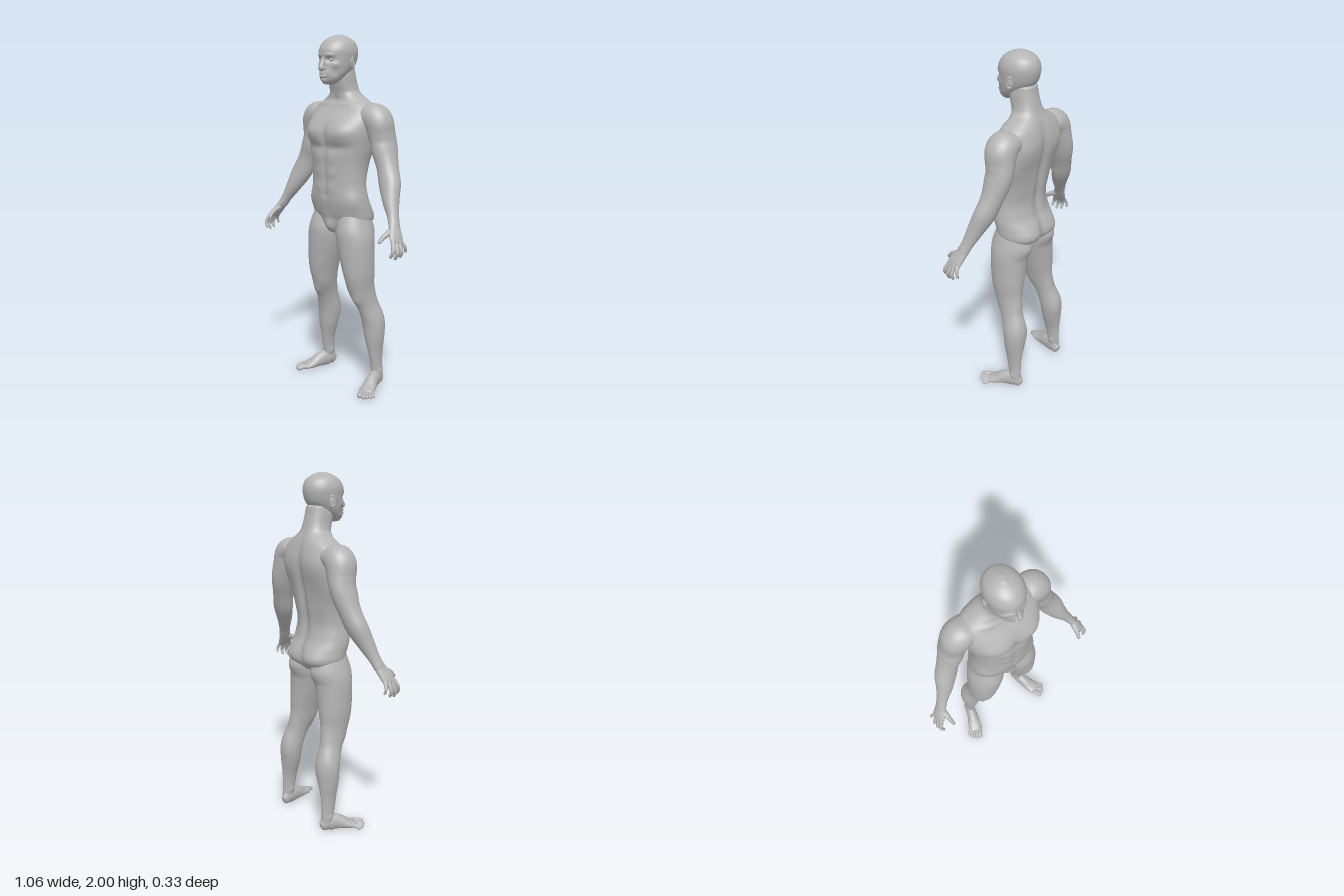
import * as THREE from 'three';

const skin = new THREE.MeshStandardMaterial({ color: 0xb4b4b4 });
skin.name = 'grey skin';
const X = new THREE.Vector3(1, 0, 0), Y = new THREE.Vector3(0, 1, 0), Z = new THREE.Vector3(0, 0, 1);

// Smooth closed loft through rings [x, y, z, radiusSide, radiusOther].
// bumps: [x, y, z, spreadX, spreadY, spreadZ, height] push the skin in or out.
function loft(name, rings, { side = 1, ref = Z, flat = false, seg = 32, steps = 8, cap = 0.5, square = 1, bumps = [] } = {}) {
  const path = new THREE.CatmullRomCurve3(rings.map(r => new THREE.Vector3(r[0] * side, r[1], r[2])), false, 'catmullrom');
  const size = new THREE.CatmullRomCurve3(rings.map(r => new THREE.Vector3(r[3], r[4], 0)), false, 'catmullrom');
  const rows = [], n = (rings.length - 1) * steps, capRows = 6;
  for (let i = capRows; i > 0; i--) rows.push([0, -i / capRows]);
  for (let i = 0; i <= n; i++) rows.push([i / n, 0]);
  for (let i = 1; i <= capRows; i++) rows.push([1, i / capRows]);
  const pos = [], index = [];
  const pow = v => Math.sign(v) * Math.abs(v) ** square;
  for (const [t, e] of rows) {
    const c = path.getPoint(t), s = size.getPoint(t);
    const T = flat ? Y.clone() : path.getTangent(t);
    const u = new THREE.Vector3().crossVectors(ref, T).normalize();
    const v = new THREE.Vector3().crossVectors(T, u);
    const k = Math.cos(e * Math.PI / 2);
    c.addScaledVector(T, Math.sin(e * Math.PI / 2) * cap * Math.min(s.x, s.y));
    for (let j = 0; j < seg; j++) {
      const a = j / seg * Math.PI * 2;
      const d = u.clone().multiplyScalar(s.x * k * pow(Math.cos(a))).addScaledVector(v, s.y * k * pow(Math.sin(a)));
      const p = c.clone().add(d), out = d.clone().normalize();
      let h = 0;
      for (const b of bumps) {
        h += b[6] * Math.exp(-(((p.x - b[0] * side) / b[3]) ** 2) - ((p.y - b[1]) / b[4]) ** 2 - ((p.z - b[2]) / b[5]) ** 2);
      }
      p.addScaledVector(out, h * Math.min(1, k * 2));
      pos.push(p.x, Math.max(0, p.y), p.z);
    }
  }
  for (let i = 0; i < rows.length - 1; i++) for (let j = 0; j < seg; j++) {
    const a = i * seg + j, b = i * seg + (j + 1) % seg;
    index.push(a, b, b + seg, a, b + seg, a + seg);
  }
  const g = new THREE.BufferGeometry();
  g.setAttribute('position', new THREE.Float32BufferAttribute(pos, 3));
  g.setIndex(index);
  g.computeVertexNormals();
  const mesh = new THREE.Mesh(g, skin);
  mesh.name = name;
  return mesh;
}

// Upright section from height, half width, front z and back z
const slice = ([y, w, front, back]) => [0, y, (front + back) / 2, w, (front - back) / 2];
const mirrored = list => list.flatMap(b => [b, [-b[0], ...b.slice(1)]]);

function ball(name, x, y, z, sx, sy, sz) {
  const m = new THREE.Mesh(new THREE.SphereGeometry(1, 24, 16), skin);
  m.name = name;
  m.position.set(x, y, z);
  m.scale.set(sx, sy, sz);
  return m;
}

function torso() {
  return loft('torso and neck', [
    [0.925, 0.09, 0.06, -0.09], [0.98, 0.178, 0.085, -0.135], [1.05, 0.19, 0.105, -0.135],
    [1.12, 0.184, 0.118, -0.115], [1.2, 0.173, 0.117, -0.105], [1.3, 0.178, 0.12, -0.125],
    [1.4, 0.2, 0.122, -0.142], [1.48, 0.215, 0.122, -0.155], [1.55, 0.22, 0.1, -0.158],
    [1.61, 0.205, 0.058, -0.148], [1.65, 0.15, 0.035, -0.135], [1.69, 0.09, 0.033, -0.118],
    [1.73, 0.074, 0.043, -0.105], [1.78, 0.07, 0.055, -0.092], [1.82, 0.065, 0.05, -0.085],
  ].map(slice), {
    flat: true, seg: 112, steps: 8, square: 0.9, cap: 0.3,
    bumps: [
      // breastbone, midline, spine and cleft grooves, pelvis
      [0, 1.47, 0.14, 0.018, 0.07, 0.06, -0.014], [0, 1.24, 0.12, 0.012, 0.12, 0.05, -0.006],
      [0, 1.36, -0.14, 0.026, 0.24, 0.08, -0.022], [0, 0.99, -0.14, 0.016, 0.07, 0.08, -0.03],
      [0, 0.945, 0.08, 0.035, 0.045, 0.05, 0.025], [0, 1.135, 0.12, 0.014, 0.014, 0.04, -0.007],
      [0, 1.655, 0.04, 0.02, 0.02, 0.04, -0.008],
      ...mirrored([
        [0.095, 1.485, 0.11, 0.08, 0.06, 0.08, 0.026], [0.09, 1.4, 0.12, 0.08, 0.02, 0.06, -0.009],
        [0.1, 1.635, 0.04, 0.08, 0.011, 0.05, 0.007],
        [0.045, 1.34, 0.12, 0.03, 0.03, 0.05, 0.006], [0.045, 1.26, 0.12, 0.03, 0.03, 0.05, 0.006],
        [0.045, 1.18, 0.12, 0.03, 0.03, 0.05, 0.006], [0.15, 1.1, 0.06, 0.05, 0.05, 0.06, 0.008],
        [0.1, 1.0, 0.1, 0.07, 0.02, 0.05, -0.006],
        [0.12, 1.52, -0.13, 0.07, 0.08, 0.06, 0.018], [0.16, 1.42, -0.1, 0.06, 0.08, 0.08, 0.008],
        [0.085, 0.995, -0.13, 0.075, 0.07, 0.08, 0.034], [0.05, 1.2, -0.1, 0.035, 0.09, 0.05, 0.008],
        [0.05, 1.74, 0.02, 0.02, 0.06, 0.03, 0.005],
      ]),
    ],
  });
}

function head() {
  const g = new THREE.Group();
  g.name = 'head';
  g.add(loft('skull and face', [
    [1.742, 0.032, 0.112, 0.05], [1.765, 0.057, 0.127, 0.01], [1.8, 0.077, 0.13, -0.04],
    [1.84, 0.088, 0.128, -0.085], [1.88, 0.095, 0.127, -0.101], [1.92, 0.096, 0.127, -0.104],
    [1.96, 0.081, 0.103, -0.088], [1.985, 0.051, 0.066, -0.052], [1.997, 0.02, 0.03, -0.02],
  ].map(slice), {
    flat: true, seg: 96, steps: 8, cap: 0.15,
    bumps: [
      [0, 1.75, 0.12, 0.022, 0.014, 0.03, 0.005], [0, 1.772, 0.13, 0.025, 0.007, 0.03, -0.006],
      [0, 1.795, 0.13, 0.035, 0.02, 0.03, 0.006],
      ...mirrored([
        [0.036, 1.867, 0.115, 0.02, 0.012, 0.04, -0.017], [0.035, 1.891, 0.12, 0.028, 0.009, 0.03, 0.006],
        [0.062, 1.84, 0.085, 0.02, 0.016, 0.03, 0.006], [0.055, 1.805, 0.09, 0.018, 0.02, 0.03, -0.006],
      ]),
    ],
  }));
  g.add(loft('nose', [[0, 1.885, 0.119, 0.01, 0.012], [0, 1.865, 0.124, 0.009, 0.013], [0, 1.84, 0.135, 0.012, 0.014],
    [0, 1.825, 0.142, 0.016, 0.015], [0, 1.817, 0.136, 0.014, 0.012]], { seg: 24 }));
  // lips, drawn as thin rolls across the mouth
  for (const [name, y, r] of [['upperLip', 1.791, 0.005], ['lowerLip', 1.781, 0.006]]) {
    g.add(loft(name, [[-0.03, 1.786, 0.118, 0.002, 0.002], [-0.015, y, 0.132, r, r], [0, y, 0.136, r, r],
      [0.015, y, 0.132, r, r], [0.03, 1.786, 0.118, 0.002, 0.002]], { ref: Y, seg: 12 }));
  }
  for (const s of [1, -1]) {
    g.add(ball('eye', s * 0.036, 1.868, 0.099, 0.015, 0.009, 0.012));
    g.add(ball('nostril', s * 0.013, 1.822, 0.131, 0.009, 0.008, 0.012));
    const ear = ball('ear', s * 0.094, 1.85, 0.002, 0.009, 0.028, 0.016);
    ear.rotation.y = s * 0.35;
    const rim = new THREE.Mesh(new THREE.TorusGeometry(0.019, 0.0045, 8, 28), skin);
    rim.name = 'earRim';
    rim.scale.set(0.85, 1.45, 1);
    rim.rotation.y = Math.PI / 2 + s * 0.35;
    rim.position.set(s * 0.1, 1.852, 0);
    g.add(ear, rim);
  }
  return g;
}

function arm(side) {
  const g = new THREE.Group();
  g.name = side > 0 ? 'leftArm' : 'rightArm';
  g.add(loft('arm', [
    [0.17, 1.575, -0.05, 0.065, 0.08], [0.23, 1.553, -0.052, 0.08, 0.084], [0.256, 1.47, -0.06, 0.068, 0.076],
    [0.284, 1.385, -0.06, 0.062, 0.068], [0.314, 1.305, -0.048, 0.058, 0.06], [0.345, 1.225, -0.028, 0.06, 0.055],
    [0.385, 1.14, 0.005, 0.046, 0.045], [0.424, 1.065, 0.03, 0.029, 0.034], [0.45, 1.015, 0.048, 0.024, 0.034],
  ], {
    side, seg: 48, bumps: [
      [0.3, 1.52, -0.03, 0.05, 0.06, 0.07, 0.008], [0.27, 1.38, 0.0, 0.05, 0.06, 0.04, 0.01],
      [0.29, 1.42, -0.13, 0.05, 0.08, 0.04, 0.008], [0.3, 1.44, -0.03, 0.03, 0.02, 0.06, -0.004],
      [0.39, 1.22, -0.02, 0.04, 0.05, 0.05, 0.006],
    ],
  }));
  g.add(loft('palm', [[0.435, 1.04, 0.04, 0.024, 0.031], [0.46, 1.0, 0.055, 0.021, 0.037],
    [0.483, 0.965, 0.072, 0.018, 0.044], [0.497, 0.942, 0.079, 0.013, 0.042]], { side }));
  const fingers = {
    thumb: [[0.455, 1.0, 0.075, 0.017, 0.02], [0.449, 0.978, 0.122, 0.014, 0.014], [0.442, 0.95, 0.155, 0.009, 0.01]],
    indexFinger: [[0.492, 0.952, 0.107, 0.012, 0.012], [0.511, 0.908, 0.125, 0.011, 0.011], [0.5, 0.878, 0.132, 0.008, 0.008]],
    middleFinger: [[0.496, 0.945, 0.088, 0.012, 0.012], [0.517, 0.897, 0.1, 0.011, 0.011], [0.505, 0.865, 0.103, 0.008, 0.008]],
    ringFinger: [[0.497, 0.945, 0.067, 0.012, 0.012], [0.52, 0.9, 0.071, 0.0105, 0.0105], [0.511, 0.872, 0.07, 0.008, 0.008]],
    littleFinger: [[0.493, 0.952, 0.047, 0.011, 0.011], [0.515, 0.918, 0.038, 0.009, 0.009], [0.514, 0.893, 0.031, 0.007, 0.007]],
  };
  for (const [name, rings] of Object.entries(fingers)) g.add(loft(name, rings, { side, ref: X, seg: 14, cap: 1 }));
  return g;
}

function leg(side) {
  const g = new THREE.Group();
  g.name = side > 0 ? 'leftLeg' : 'rightLeg';
  g.add(loft('leg', [
    [0.098, 1.03, -0.02, 0.08, 0.095], [0.108, 0.93, -0.012, 0.1, 0.116], [0.121, 0.85, -0.005, 0.102, 0.108],
    [0.142, 0.7, -0.01, 0.081, 0.099], [0.152, 0.6, -0.025, 0.062, 0.084], [0.167, 0.5, -0.058, 0.053, 0.07],
    [0.184, 0.4, -0.088, 0.063, 0.068], [0.191, 0.3, -0.092, 0.055, 0.061], [0.198, 0.2, -0.095, 0.035, 0.046],
    [0.202, 0.1, -0.103, 0.028, 0.038], [0.203, 0.04, -0.108, 0.03, 0.038],
  ], {
    side, seg: 56, bumps: [
      [0.16, 0.535, 0.03, 0.03, 0.03, 0.04, 0.008], [0.115, 0.6, 0.02, 0.03, 0.05, 0.04, 0.008],
      [0.165, 0.52, -0.13, 0.03, 0.04, 0.04, -0.006], [0.15, 0.38, -0.13, 0.03, 0.07, 0.05, 0.008],
      [0.1, 0.93, -0.13, 0.06, 0.04, 0.05, 0.012], [0.2, 0.2, -0.14, 0.015, 0.08, 0.03, 0.004],
      [0.172, 0.1, -0.1, 0.02, 0.016, 0.02, 0.007], [0.232, 0.09, -0.105, 0.02, 0.016, 0.02, 0.007],
    ],
  }));
  g.add(loft('foot', [[0.197, 0.036, -0.13, 0.025, 0.034], [0.204, 0.05, -0.1, 0.031, 0.05], [0.22, 0.045, -0.045, 0.035, 0.044],
    [0.24, 0.028, 0.005, 0.042, 0.028], [0.256, 0.019, 0.045, 0.044, 0.018]], { side, ref: Y, seg: 36, cap: 0.8 }));
  const toes = [[0.232, 0.055, 0.258, 0.1, 0.016], [0.249, 0.052, 0.281, 0.094, 0.0115], [0.263, 0.047, 0.295, 0.08, 0.011],
    [0.277, 0.04, 0.306, 0.063, 0.0105], [0.289, 0.03, 0.312, 0.045, 0.01]];
  toes.forEach(([x0, z0, x1, z1, r], i) => g.add(loft(i ? 'toe' : 'bigToe',
    [[x0, 0.02, z0, r, r], [(x0 + x1) / 2, r + 0.006, (z0 + z1) / 2, r * 0.9, r * 0.9], [x1, r * 0.95, z1, r, r * 0.9]],
    { side, ref: Y, seg: 14, cap: 0.9 })));
  return g;
}

export function createModel() {
  const model = new THREE.Group();
  model.name = 'standing figure';
  model.add(torso(), head());
  for (const side of [1, -1]) model.add(arm(side), leg(side));
  return model;
}
